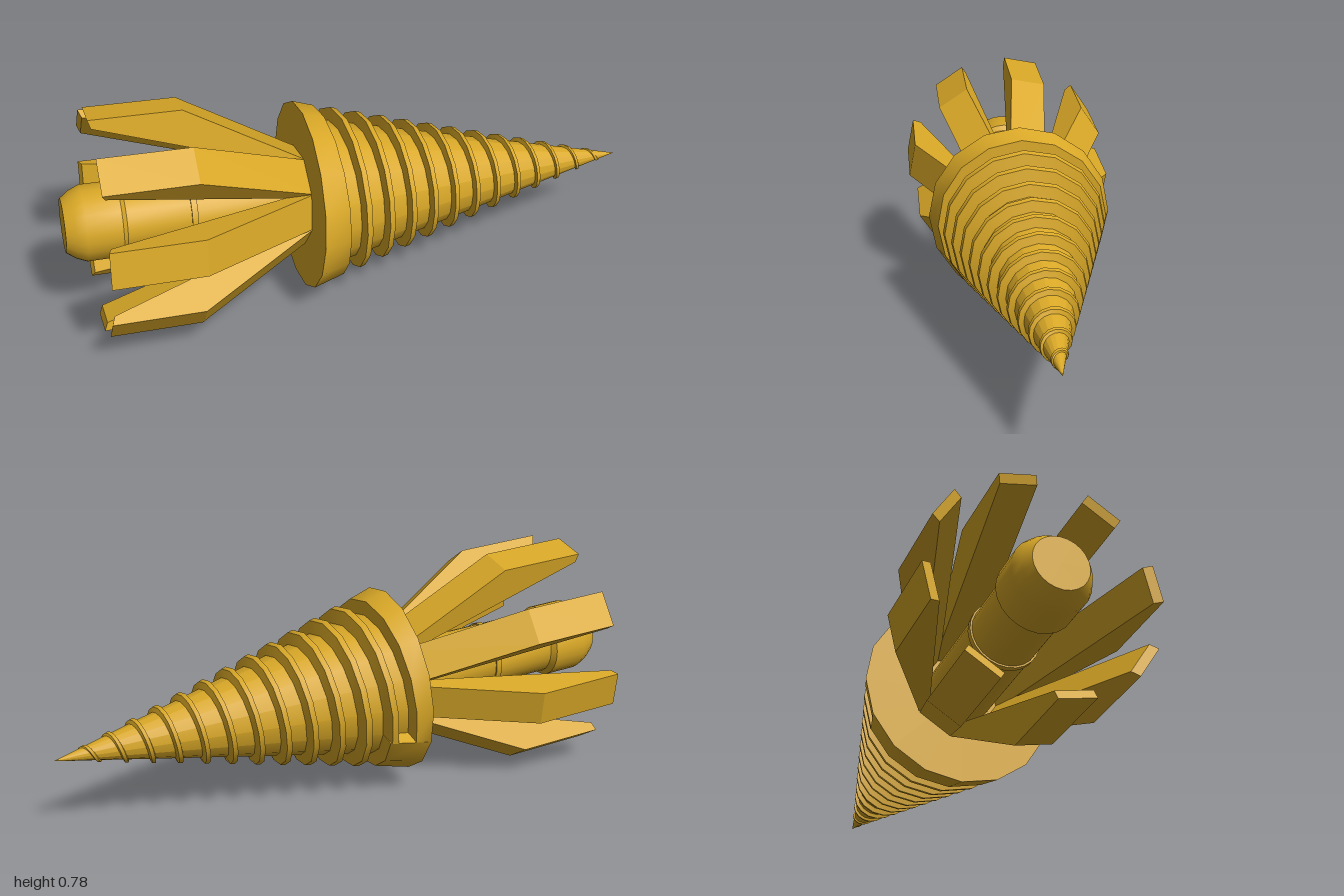
import * as THREE from 'three';
import { toCreasedNormals } from 'three/addons/utils/BufferGeometryUtils.js';

const SIDES = 16, TIP = 1.195, PITCH = 0.085, START = -Math.PI / 8;
const coreRadius = s => 0.27 * (1 - s / TIP);
const ridgeRadius = s => 0.322 * (1 - s / TIP);
const threadFront = t => 0.062 + PITCH * t / (2 * Math.PI);

const material = new THREE.MeshStandardMaterial({ color: 0xd9a827 });

function part(name, geometry) {
  const mesh = new THREE.Mesh(toCreasedNormals(geometry, 0.5), material);
  mesh.name = name;
  return mesh;
}

// Sweep a four-point (axial, radius) section around the x axis, with end caps
function sweep(section, from, steps) {
  const pos = [], index = [];
  for (let i = 0; i <= steps; i++) {
    const t = from + i * 2 * Math.PI / SIDES;
    for (const [s, r] of section(t)) pos.push(s, r * Math.sin(t), -r * Math.cos(t));
  }
  for (let i = 0; i < steps; i++) {
    for (let j = 0; j < 3; j++) {
      const a = i * 4 + j, b = a + 1, c = a + 4, d = a + 5;
      index.push(a, c, b, b, c, d);
    }
  }
  const e = steps * 4;
  index.push(0, 1, 2, 0, 2, 3, e, e + 2, e + 1, e, e + 3, e + 2);
  const g = new THREE.BufferGeometry();
  g.setAttribute('position', new THREE.Float32BufferAttribute(pos, 3));
  g.setIndex(index);
  return g;
}

// Lathe of (axial, radius) points, running from the rear along +x
function turned(points, sides) {
  const g = new THREE.LatheGeometry(points.map(([s, r]) => new THREE.Vector2(r, s)), sides);
  return g.rotateZ(-Math.PI / 2);
}

export function createModel() {
  const model = new THREE.Group();
  const drill = new THREE.Group();
  drill.name = 'drill';
  // Axis dips gently towards the tip
  drill.position.set(-0.2, 0.352, 0);
  drill.rotation.z = -0.06;
  model.add(drill);

  // Tapering core of the bit
  drill.add(part('bitCore', turned([[0.02, coreRadius(0.02)], [TIP, 0]], SIDES)));

  // Collar: first turn of the thread, filled back to a flat rear disc
  drill.add(part('collar', sweep(t => {
    const f = threadFront(t);
    return [[0, 0], [0, ridgeRadius(0)], [f - 0.008, ridgeRadius(f)], [f, coreRadius(f) - 0.01]];
  }, START, SIDES)));

  // Helical cutting thread, shrinking to the tip
  const turns = Math.floor((1.15 - threadFront(START + 2 * Math.PI)) / PITCH * SIDES);
  drill.add(part('thread', sweep(t => {
    const f = threadFront(t), k = Math.max(0.45, 1 - 0.6 * f / TIP);
    const base = s => Math.max(0, coreRadius(s) - 0.006);
    const rear = f - 0.045 * k;
    return [
      [rear, base(rear)],
      [f - 0.036 * k, ridgeRadius(f - 0.036 * k)],
      [f - 0.014 * k, ridgeRadius(f - 0.014 * k)],
      [f, base(f)],
    ];
  }, START + 2 * Math.PI, turns)));

  // Drive shaft with a raised band, and the rounded end piece
  drill.add(part('shaft', turned([
    [-0.64, 0], [-0.64, 0.11], [-0.39, 0.11], [-0.39, 0.116],
    [-0.37, 0.116], [-0.37, 0.11], [0.01, 0.11],
  ], 24)));
  drill.add(part('endPiece', turned([
    [-0.795, 0], [-0.795, 0.09], [-0.765, 0.112], [-0.73, 0.127],
    [-0.615, 0.127], [-0.6, 0.11],
  ], 24)));

  // Eight bent fins around the shaft
  const profile = new THREE.Shape([
    [0.02, 0.145], [-0.395, 0.375], [-0.695, 0.375], [-0.685, 0.345], [0.02, 0.115],
  ].map(p => new THREE.Vector2(...p)));
  const finGeometry = new THREE.ExtrudeGeometry(profile, { depth: 0.125, bevelEnabled: false });
  finGeometry.translate(0, 0, -0.0625);
  const fins = new THREE.Group();
  fins.name = 'fins';
  for (let i = 0; i < 8; i++) {
    const fin = part('fin', finGeometry);
    fin.rotation.x = -0.19 + i * Math.PI / 4;
    fins.add(fin);
  }
  drill.add(fins);

  return model;
}
